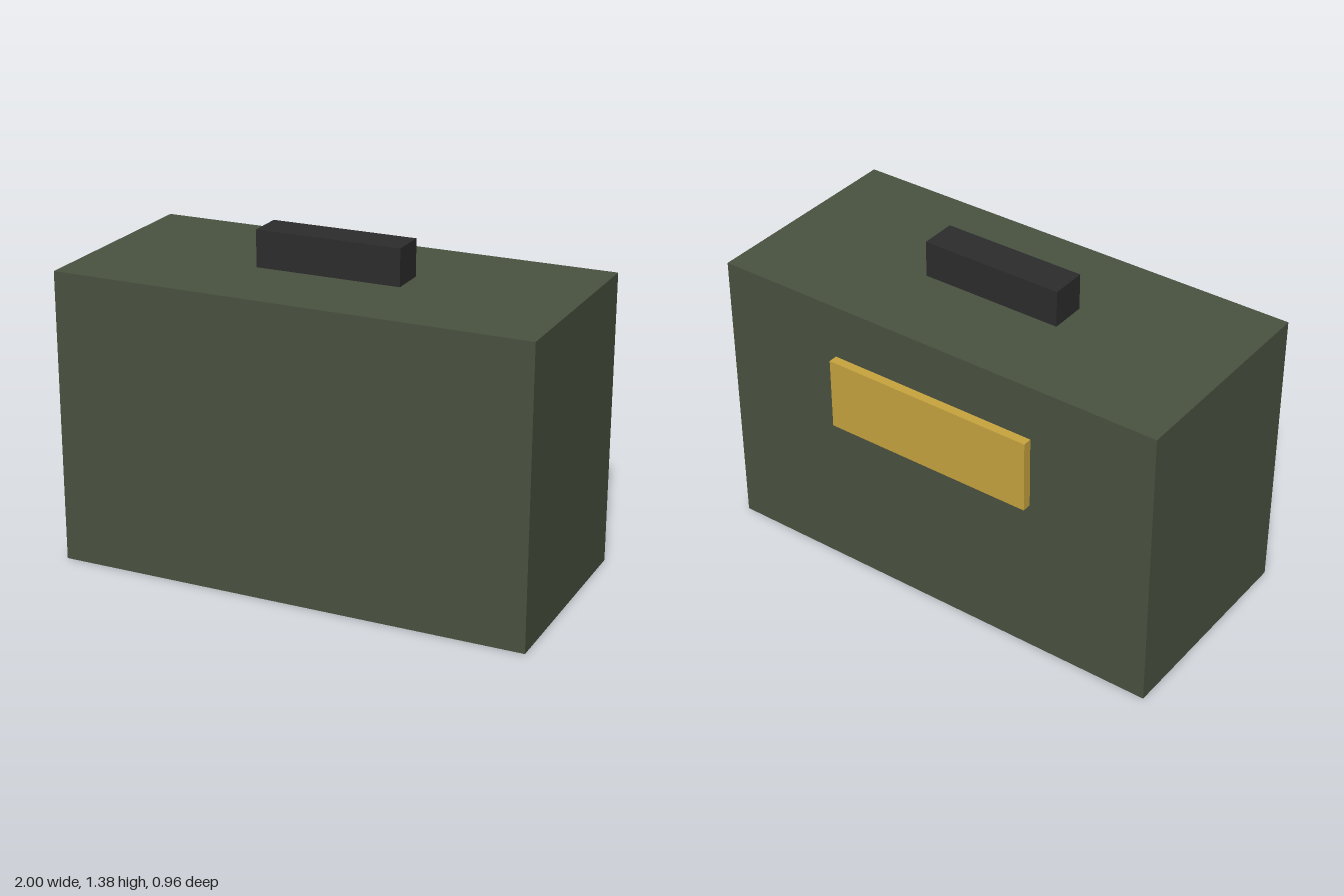
import * as THREE from 'three';

// One design unit; the case is 13 units wide
const U = 2 / 13;

function material(name, color) {
  const m = new THREE.MeshStandardMaterial({ color });
  m.name = name;
  return m;
}

export function createModel() {
  const green = material('olive green', 0x4a5240);
  const black = material('charcoal', 0x2c2c2c);
  const brass = material('brass', 0xc8a43f);

  const group = new THREE.Group();
  group.name = 'case';

  // Box sized and placed in design units
  function addBox(name, mat, [w, h, d], [x, y, z]) {
    const mesh = new THREE.Mesh(new THREE.BoxGeometry(w * U, h * U, d * U), mat);
    mesh.name = name;
    mesh.position.set(x * U, y * U, z * U);
    group.add(mesh);
  }

  const plateDepth = 0.25;
  const midZ = plateDepth / 2; // body sits forward to balance the rear plate

  addBox('body', green, [13, 8, 6], [0, 4, midZ]);
  addBox('handle', black, [4, 1, 1], [0, 8.5, midZ]);
  addBox('rearPlate', brass, [6, 2, plateDepth], [0, 5.5, midZ - 3 - plateDepth / 2]);

  return group;
}
